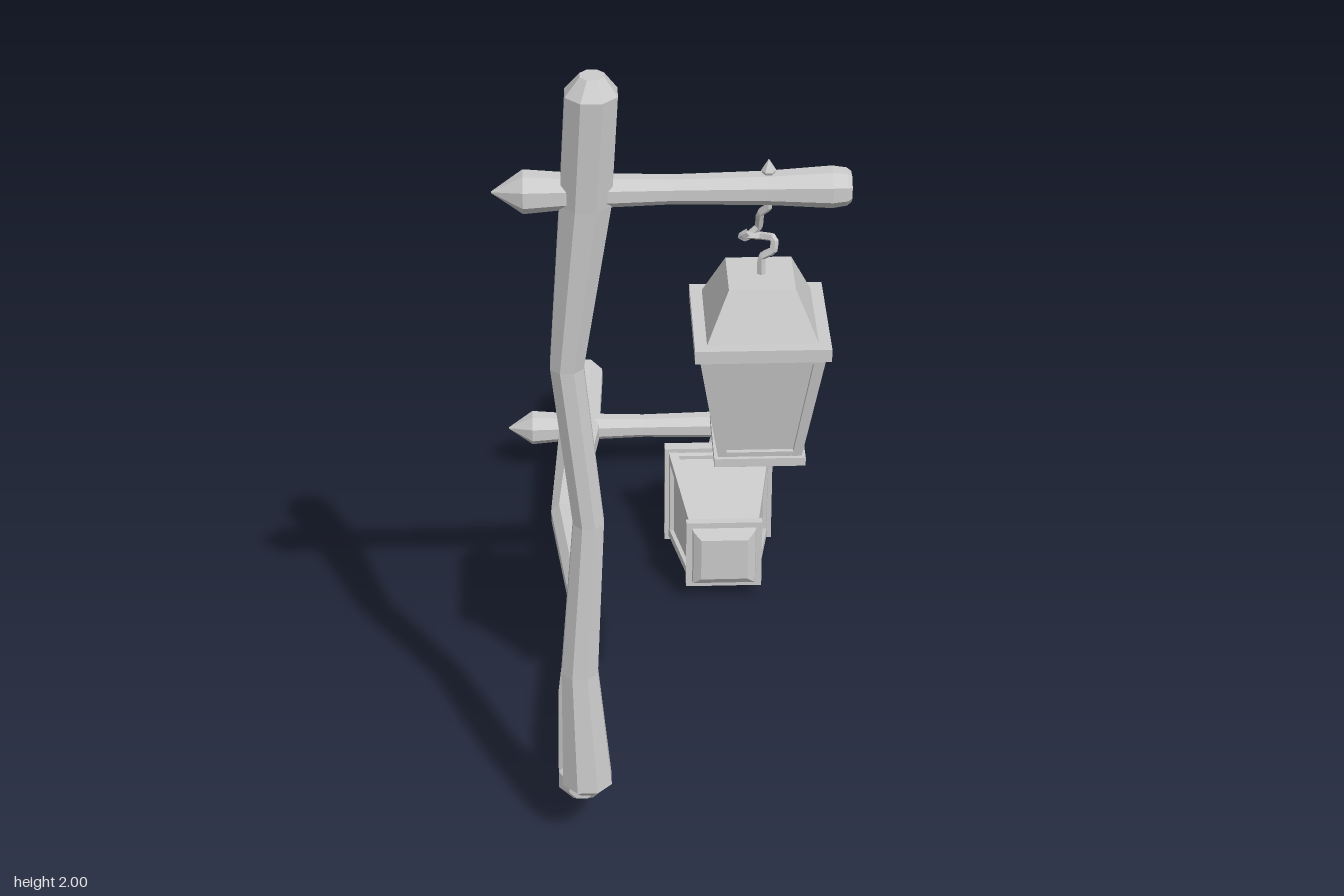
import * as THREE from 'three';

const material = new THREE.MeshStandardMaterial({ color: 0xcccccc, flatShading: true });

// Faceted rod or box: rows run from top to bottom as [y, radius, centreX, centreZ]
function loft(rows, sides) {
  const last = rows.length - 1;
  const geo = new THREE.CylinderGeometry(1, 1, 1, sides, last);
  geo.rotateY(Math.PI / sides);
  const p = geo.attributes.position;
  // flat sides face the axes, so scale the apothem to the given radius
  const k = sides === 4 ? Math.SQRT2 : 1 / Math.cos(Math.PI / sides);
  for (let i = 0; i < p.count; i++) {
    const [y, r, cx = 0, cz = 0] = rows[Math.round((0.5 - p.getY(i)) * last)];
    p.setXYZ(i, cx + p.getX(i) * r * k, y, cz + p.getZ(i) * r * k);
  }
  geo.computeVertexNormals();
  return geo;
}

function add(parent, name, geo) {
  const mesh = new THREE.Mesh(geo, material);
  mesh.name = name;
  parent.add(mesh);
  return mesh;
}

function bentRod(points, radius) {
  const path = new THREE.CurvePath();
  const v = points.map((q) => new THREE.Vector3(...q));
  for (let i = 1; i < v.length; i++) path.add(new THREE.LineCurve3(v[i - 1], v[i]));
  const curve = new THREE.CatmullRomCurve3(v, false, 'catmullrom', 0.2);
  return new THREE.TubeGeometry(curve, v.length * 4, radius, 5);
}

function makeLantern() {
  const g = new THREE.Group();
  g.name = 'lantern';
  add(g, 'roof', loft([[1.52, 0.07], [1.415, 0.117]], 4));
  add(g, 'roofRim', loft([[1.415, 0.143], [1.385, 0.143]], 4));
  add(g, 'panes', loft([[1.39, 0.122], [1.115, 0.078]], 4));
  add(g, 'baseRim', loft([[1.12, 0.098], [1.1, 0.098]], 4));
  add(g, 'base', loft([[1.1, 0.082], [1.088, 0.08], [1.075, 0.06]], 4));
  // corner posts and frame rails around the recessed panes
  for (const sx of [-1, 1]) for (const sz of [-1, 1]) {
    add(g, 'cornerPost', loft([
      [1.39, 0.012, sx * 0.121, sz * 0.121],
      [1.115, 0.01, sx * 0.079, sz * 0.079],
    ], 4));
  }
  add(g, 'upperRail', loft([[1.39, 0.132], [1.372, 0.129]], 4));
  add(g, 'lowerRail', loft([[1.132, 0.091], [1.118, 0.089]], 4));
  return g;
}

function makeLamp(name) {
  const lamp = new THREE.Group();
  lamp.name = name;

  // crooked timber post
  add(lamp, 'post', loft([
    [2.0, 0.025, -0.16, 0.883], [1.96, 0.054, -0.162, 0.882],
    [1.7, 0.054, -0.176, 0.86], [1.3, 0.036, -0.22, 0.855],
    [0.9, 0.034, -0.178, 0.855], [0.5, 0.041, -0.202, 0.86],
    [0.19, 0.056, -0.188, 0.862], [0.16, 0.03, -0.19, 0.858],
  ], 8));

  // crossbar, pointed at one end
  const bar = add(lamp, 'crossbar', loft([
    [0.375, 0.03], [0.365, 0.037], [0.335, 0.041], [0.2, 0.033],
    [0.0, 0.029], [-0.2, 0.035], [-0.305, 0.043], [-0.37, 0.002],
  ], 8).rotateZ(-Math.PI / 2));
  bar.position.set(0, 1.725, 0.862);

  // two linked hooks and the spike through the bar
  add(lamp, 'upperHook', bentRod([
    [0.203, 1.75, 0.86], [0.203, 1.68, 0.86], [0.188, 1.66, 0.85],
    [0.186, 1.62, 0.835], [0.16, 1.595, 0.835], [0.15, 1.605, 0.85], [0.165, 1.62, 0.86],
  ], 0.009));
  add(lamp, 'hookSpike', loft([[1.79, 0.001, 0.203, 0.86], [1.765, 0.014, 0.203, 0.86],
    [1.755, 0.009, 0.203, 0.86], [1.72, 0.009, 0.203, 0.86]], 6));
  add(lamp, 'lowerHook', bentRod([
    [0.192, 1.51, 0.858], [0.192, 1.56, 0.858], [0.215, 1.578, 0.865],
    [0.217, 1.605, 0.86], [0.19, 1.6, 0.84], [0.155, 1.603, 0.84],
  ], 0.009));

  const lantern = makeLantern();
  lantern.position.set(0.19, 0, 0.858);
  lamp.add(lantern);
  return lamp;
}

export function createModel() {
  const model = new THREE.Group();
  model.name = 'lampPosts';
  model.add(makeLamp('uprightLamp'));
  // the same lamp lying on its back
  const lying = makeLamp('lyingLamp');
  lying.rotation.x = -Math.PI / 2;
  lying.position.set(-0.01, -0.715, 1);
  model.add(lying);
  return model;
}
